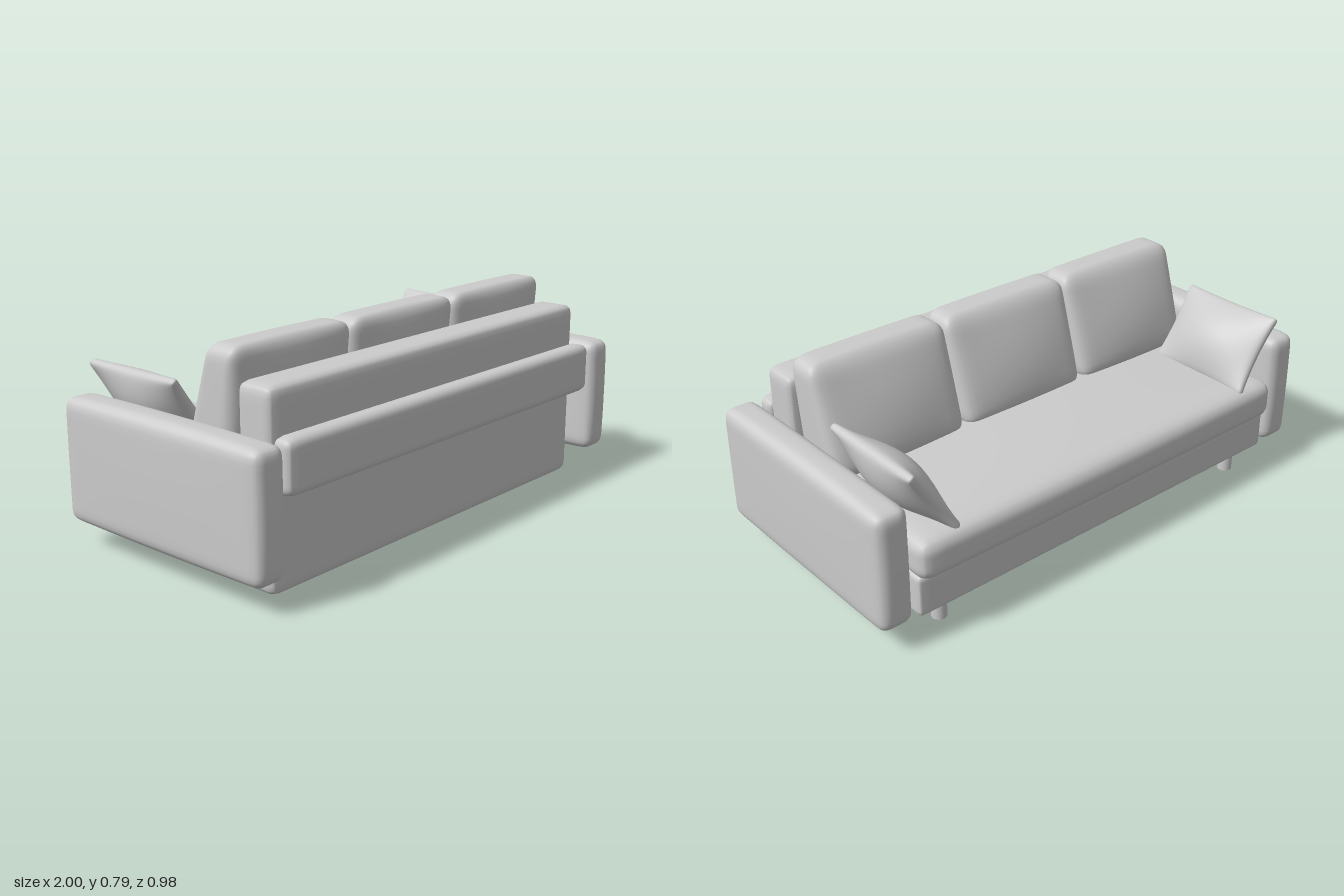
import * as THREE from 'three';
import { mergeVertices } from 'three/addons/utils/BufferGeometryUtils.js';

const material = new THREE.MeshStandardMaterial({ color: 0xcccccc });

// Rounded, padded block: edge radius r, faces swell by puff = [x, y, z].
// An optional reshape(p, u) moves each point; u is its position in -1..1.
function softBox(w, h, d, r, puff = [0, 0, 0], reshape) {
  const half = new THREE.Vector3(w / 2, h / 2, d / 2);
  let g = new THREE.BoxGeometry(2, 2, 2, 20, 20, 20);
  g.deleteAttribute('normal');
  g.deleteAttribute('uv');
  g = mergeVertices(g, 1e-4);
  const pos = g.attributes.position;
  const p = new THREE.Vector3(), u = new THREE.Vector3();
  const inner = new THREE.Vector3(), lim = half.clone().subScalar(r);
  for (let i = 0; i < pos.count; i++) {
    // Rows crowd towards the edges, where the rounding is
    p.fromBufferAttribute(pos, i);
    for (const a of ['x', 'y', 'z']) p[a] = Math.sin(p[a] * Math.PI / 2);
    p.multiply(half);
    inner.copy(p).clamp(lim.clone().negate(), lim);
    p.sub(inner);
    if (p.lengthSq() > 0) p.setLength(r);
    p.add(inner);
    u.copy(p).divide(half);
    const fx = 1 - u.x * u.x, fy = 1 - u.y * u.y, fz = 1 - u.z * u.z;
    p.x += u.x * puff[0] * fy * fz;
    p.y += u.y * puff[1] * fx * fz;
    p.z += u.z * puff[2] * fx * fy;
    if (reshape) reshape(p, u);
    pos.setXYZ(i, p.x, p.y, p.z);
  }
  g.computeVertexNormals();
  return g;
}

export function createModel() {
  const sofa = new THREE.Group();
  sofa.name = 'sofa';
  const add = (name, geometry, x, y, z) => {
    const m = new THREE.Mesh(geometry, material);
    m.name = name;
    m.position.set(x, y, z);
    sofa.add(m);
    return m;
  };

  // Base and seat, open side towards -z
  add('seatBase', softBox(1.69, 0.16, 0.7, 0.02), 0, 0.17, -0.1);
  add('seatCushion', softBox(1.7, 0.155, 0.74, 0.05, [0, 0.025, 0.005]), 0, 0.313, -0.115);

  // Tall back panel standing on the ground, with a padded rail behind it
  add('backPanel', softBox(1.7, 0.69, 0.155, 0.035), 0, 0.345, 0.327);
  add('backRail', softBox(1.7, 0.19, 0.085, 0.033), 0, 0.445, 0.442);

  // Three leaning back cushions, thick at the bottom and thin at the top
  const lean = (p, u) => {
    const t = (u.y + 1) / 2;
    p.z = p.z * THREE.MathUtils.lerp(1, 0.6, t) + THREE.MathUtils.lerp(0, 0.08, t);
  };
  for (const i of [-1, 0, 1]) {
    add('backCushion', softBox(0.563, 0.4, 0.225, 0.05, [0.002, 0.004, 0.036], lean),
      i * 0.567, 0.586, 0.0975);
  }

  // Thin-edged pillow with sides drawn in between the corners
  const drawIn = (p, u) => {
    p.y *= 1 - 0.03 * (1 - u.z * u.z);
    p.z *= 1 - 0.06 * (1 - u.y * u.y);
  };
  const pillow = softBox(0.03, 0.32, 0.445, 0.014, [0.062, 0, 0], drawIn);
  const arm = softBox(0.132, 0.445, 0.94, 0.04, [0.004, 0.008, 0.006]);
  const leg = new THREE.CylinderGeometry(0.028, 0.028, 0.1, 24);
  const legPlate = new THREE.BoxGeometry(0.035, 0.09, 0.016);

  for (const side of [-1, 1]) {
    add('arm', arm, side * 0.93, 0.315, 0.018);
    add('pillow', pillow, side * 0.772, 0.51, -0.24).rotation.z = -side * 0.6;
    add('frontLeg', leg, side * 0.72, 0.053, -0.38);
    add('legPlate', legPlate, side * 0.72, 0.055, -0.32);
  }
  return sofa;
}
